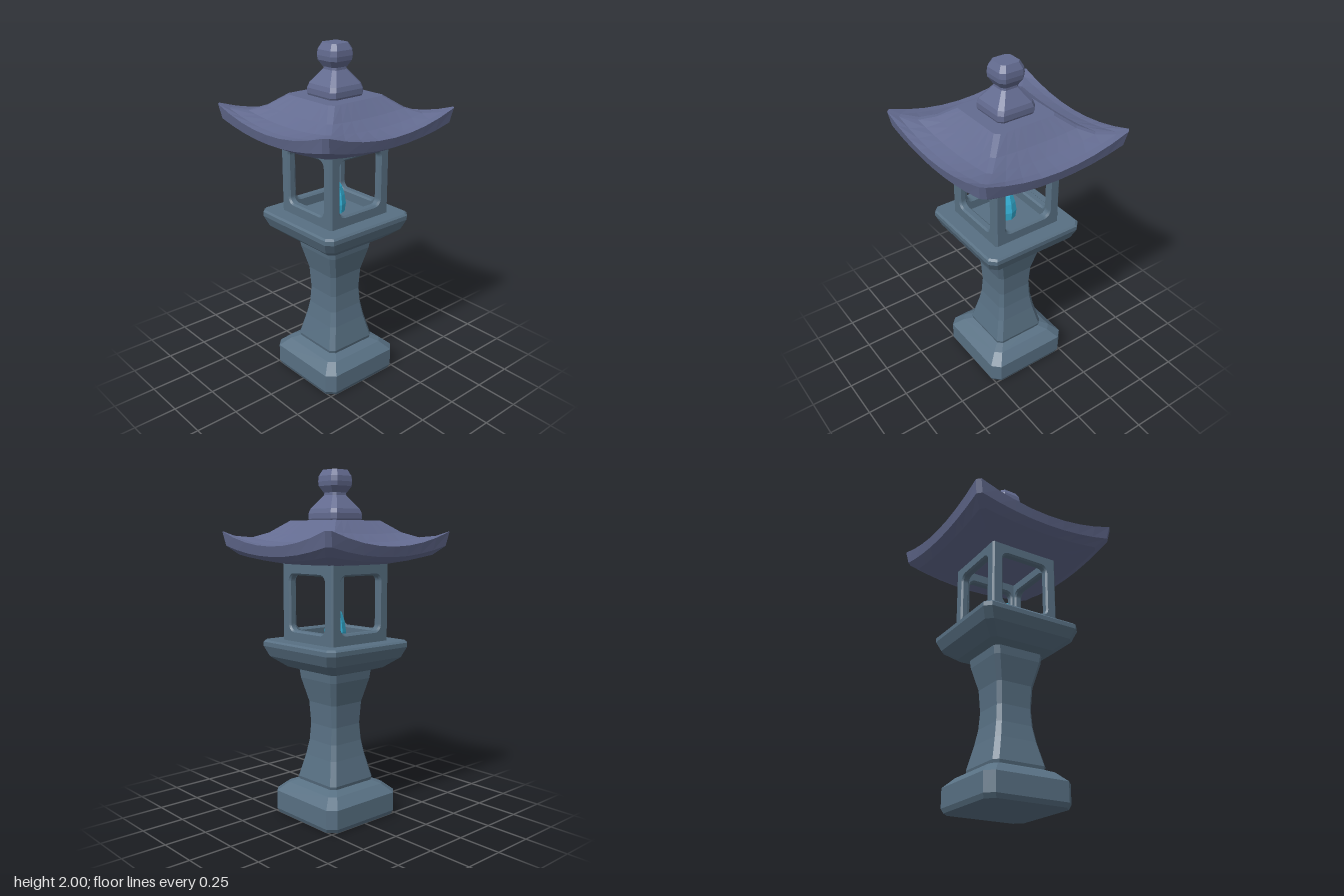
import * as THREE from 'three';

// Square ring with cut corners; its height rises towards the corners by lift
function squareRing([h, y, chamfer, lift = 0], n) {
  const pts = [];
  for (let k = 0; k < 4; k++) {
    for (let i = 0; i <= n; i++) {
      const s = (2 * i) / n - 1;
      let x = h, z = s * (h - chamfer);
      for (let r = 0; r < k; r++) [x, z] = [-z, x];
      pts.push([x, y + lift * s * s, z]);
    }
  }
  return pts;
}

// Capped loft through square rings, listed from bottom to top
function squareLoft(levels, n = 1) {
  const rings = levels.map((l) => squareRing(l, n));
  const pos = [];
  const tri = (a, b, c) => pos.push(...a, ...b, ...c);
  const m = rings[0].length;
  for (let i = 0; i < rings.length - 1; i++) {
    const a = rings[i], b = rings[i + 1];
    for (let j = 0; j < m; j++) {
      const k = (j + 1) % m;
      tri(a[j], b[j], a[k]);
      tri(a[k], b[j], b[k]);
    }
  }
  const last = rings[rings.length - 1];
  const low = [0, levels[0][1], 0], high = [0, levels[levels.length - 1][1], 0];
  for (let j = 0; j < m; j++) {
    const k = (j + 1) % m;
    tri(low, rings[0][j], rings[0][k]);
    tri(high, last[k], last[j]);
  }
  const g = new THREE.BufferGeometry();
  g.setAttribute('position', new THREE.Float32BufferAttribute(pos, 3));
  g.computeVertexNormals();
  return g;
}

// Rectangle path with rounded corners
function roundedRect(path, x0, y0, x1, y1, r) {
  path.moveTo(x0 + r, y0);
  path.lineTo(x1 - r, y0);
  path.absarc(x1 - r, y0 + r, r, -Math.PI / 2, 0);
  path.lineTo(x1, y1 - r);
  path.absarc(x1 - r, y1 - r, r, 0, Math.PI / 2);
  path.lineTo(x0 + r, y1);
  path.absarc(x0 + r, y1 - r, r, Math.PI / 2, Math.PI);
  path.lineTo(x0, y0 + r);
  path.absarc(x0 + r, y0 + r, r, Math.PI, Math.PI * 1.5);
  return path;
}

export function createModel() {
  const model = new THREE.Group();
  model.name = 'stoneLantern';
  const material = (name, color) => {
    const m = new THREE.MeshStandardMaterial({ color, flatShading: true });
    m.name = name;
    return m;
  };
  const stone = material('blueGreyStone', 0x587083);
  const slate = material('violetSlate', 0x636b90);
  const glow = material('cyanFlame', 0x35b3d9);
  const add = (name, geometry, mat, parent = model) => {
    const mesh = new THREE.Mesh(geometry, mat);
    mesh.name = name;
    parent.add(mesh);
    return mesh;
  };

  // Foot and waisted pillar
  add('base', squareLoft([
    [0.255, 0, 0.045], [0.266, 0.025, 0.045], [0.266, 0.135, 0.045],
    [0.21, 0.187, 0.035], [0.15, 0.212, 0.025],
  ]), stone);
  add('pillar', squareLoft([
    [0.16, 0.2, 0.026], [0.165, 0.225, 0.026], [0.133, 0.36, 0.024],
    [0.117, 0.45, 0.022], [0.11, 0.55, 0.021], [0.118, 0.68, 0.022],
    [0.153, 0.82, 0.025], [0.16, 0.88, 0.026],
  ]), stone);

  // Flared platform under the light box
  add('platform', squareLoft([
    [0.15, 0.865, 0.025], [0.21, 0.885, 0.03], [0.285, 0.945, 0.035],
    [0.31, 1.005, 0.035], [0.31, 1.03, 0.035], [0.3, 1.04, 0.033],
  ]), stone);

  // Light box: four walls with rounded window openings
  const bevel = 0.01;
  const wall = new THREE.Shape([
    new THREE.Vector2(-0.205, 1.03), new THREE.Vector2(0.205, 1.03),
    new THREE.Vector2(0.205, 1.5), new THREE.Vector2(-0.205, 1.5),
  ]);
  wall.holes.push(roundedRect(new THREE.Path(), -0.157, 1.092, 0.157, 1.427, 0.045));
  const wallGeometry = new THREE.ExtrudeGeometry(wall, {
    depth: 0.03, bevelEnabled: true, bevelThickness: bevel, bevelSize: bevel,
    bevelSegments: 1, curveSegments: 4,
  });
  wallGeometry.translate(0, 0, 0.175);
  const box = new THREE.Group();
  box.name = 'lightBox';
  model.add(box);
  ['frontWall', 'leftWall', 'backWall', 'rightWall'].forEach((name, i) => {
    add(name, wallGeometry, stone, box).rotation.y = (i * Math.PI) / 2;
  });

  // Flame standing on the floor of the box
  const flame = [[0, 1.035], [0.055, 1.035], [0.063, 1.09], [0.055, 1.145],
    [0.04, 1.195], [0.024, 1.22], [0, 1.225]];
  add('flame', new THREE.LatheGeometry(flame.map(([r, y]) => new THREE.Vector2(r, y)), 8), glow);

  // Roof with upswept corners: underside, eave, then the top slopes
  add('roof', squareLoft([
    [0.2, 1.475, 0.02], [0.3, 1.485, 0.022, 0.012], [0.4, 1.5, 0.025, 0.03],
    [0.452, 1.525, 0.025, 0.055], [0.465, 1.58, 0.022, 0.08],
    [0.42, 1.584, 0.022, 0.052], [0.345, 1.602, 0.022, 0.025],
    [0.275, 1.645, 0.022, 0.01], [0.192, 1.72, 0.025],
  ], 8), slate);

  // Finial: stepped block with a faceted ball
  add('finialBlock', squareLoft([
    [0.112, 1.715, 0.024], [0.118, 1.73, 0.024], [0.118, 1.76, 0.024],
    [0.11, 1.785, 0.024], [0.052, 1.86, 0.016], [0.05, 1.885, 0.016],
  ]), slate);
  add('finialBall', squareLoft([
    [0.055, 1.875, 0.018], [0.077, 1.91, 0.025], [0.08, 1.935, 0.026],
    [0.077, 1.965, 0.025], [0.058, 2, 0.019],
  ]), slate);

  return model;
}
